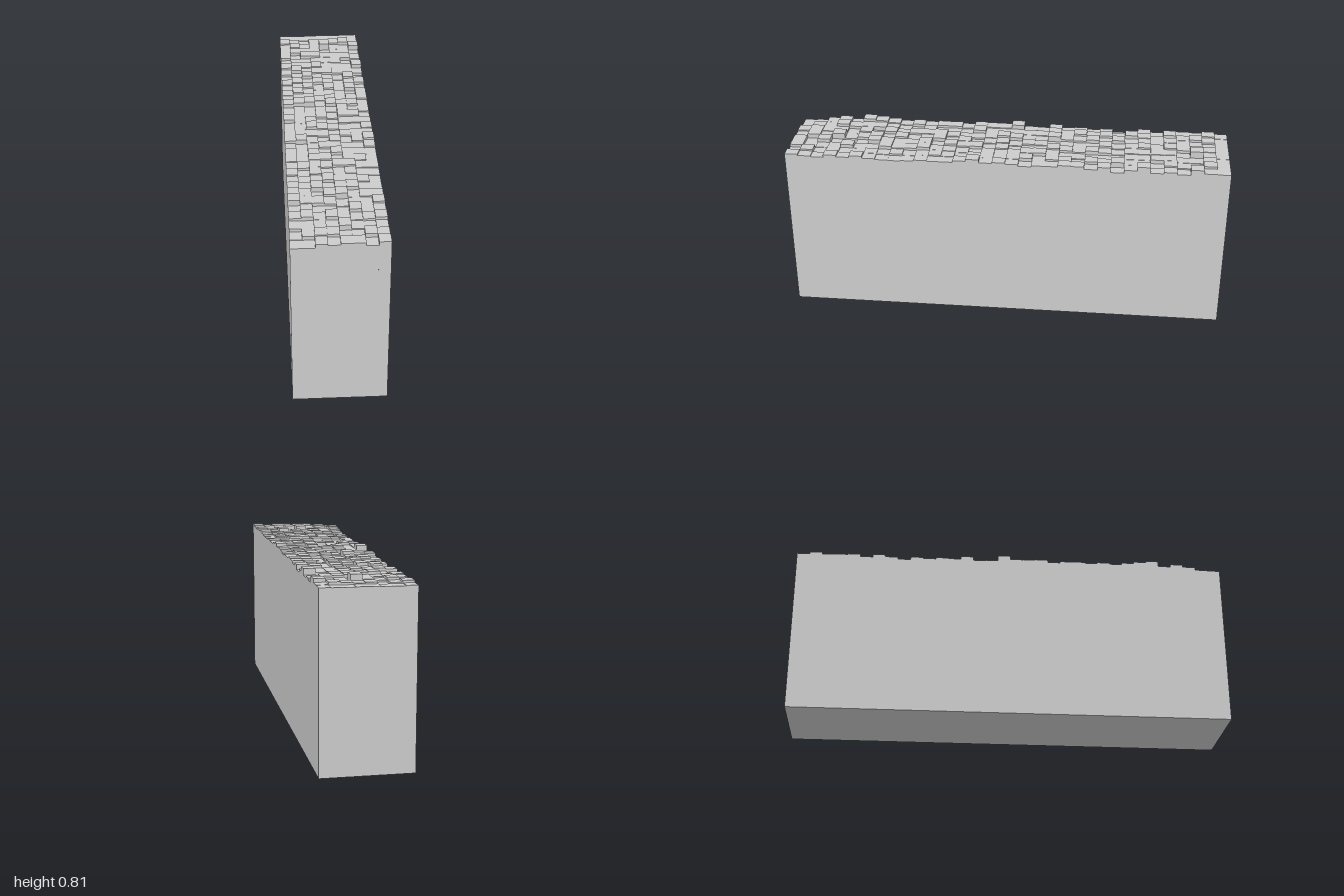
import * as THREE from 'three';

const NX = 8, NZ = 34;          // grid of columns across and along the block
const W = 0.4, L = 2;

// Small seeded generator
function seeded(seed) {
  return () => {
    seed = (seed * 1664525 + 1013904223) >>> 0;
    return seed / 4294967296;
  };
}

// Height of every column; the front row and a few raised cells are set by hand
function makeHeights() {
  const rnd = seeded(37);
  const h = [];
  for (let k = 0; k < NZ; k++) {
    h.push([]);
    for (let i = 0; i < NX; i++) h[k].push(0.779 + 0.019 * (rnd() + rnd() - 1));
  }
  h[0] = h[0].map((v) => 0.774 + (v - 0.779) * 0.15);
  h[NZ - 1] = [0.76, 0.76, 0.777, 0.771, 0.778, 0.778, 0.765, 0.781];
  h[2][4] = 0.805;
  h[13][2] = h[16][0] = h[28][0] = 0.8;
  return h;
}

function blockGeometry() {
  const heights = makeHeights();
  const at = (i, k) => heights[k]?.[i] ?? 0;   // ground level outside the block
  const X = (i) => -W / 2 + (W * i) / NX;
  const Z = (k) => -L / 2 + (L * k) / NZ;
  const pos = [];
  const quad = (corners, flip) => {
    const [a, b, c, d] = flip ? [...corners].reverse() : corners;
    pos.push(...a, ...b, ...c, ...a, ...c, ...d);
  };

  for (let k = 0; k <= NZ; k++) {
    for (let i = 0; i <= NX; i++) {
      const x0 = X(i), x1 = X(i + 1), z0 = Z(k), z1 = Z(k + 1);
      const h = at(i, k);
      // Flat column top
      if (h > 0) quad([[x0, h, z1], [x1, h, z1], [x1, h, z0], [x0, h, z0]]);
      // Step or outer wall towards the neighbour in x
      const hx = at(i - 1, k);
      if (hx !== h) {
        const lo = Math.min(h, hx), hi = Math.max(h, hx);
        quad([[x0, lo, z1], [x0, lo, z0], [x0, hi, z0], [x0, hi, z1]], hx < h);
      }
      // Step or outer wall towards the neighbour in z
      const hz = at(i, k - 1);
      if (hz !== h) {
        const lo = Math.min(h, hz), hi = Math.max(h, hz);
        quad([[x0, lo, z0], [x1, lo, z0], [x1, hi, z0], [x0, hi, z0]], hz < h);
      }
    }
  }
  // Underside
  const x = W / 2, z = L / 2;
  quad([[-x, 0, -z], [x, 0, -z], [x, 0, z], [-x, 0, z]]);

  const geo = new THREE.BufferGeometry();
  geo.setAttribute('position', new THREE.Float32BufferAttribute(pos, 3));
  geo.computeVertexNormals();
  return geo;
}

export function createModel() {
  const group = new THREE.Group();
  group.name = 'roughToppedWall';
  const wall = new THREE.Mesh(
    blockGeometry(),
    new THREE.MeshStandardMaterial({ color: 0xcccccc, flatShading: true })
  );
  wall.name = 'wallBlock';
  group.add(wall);
  return group;
}
